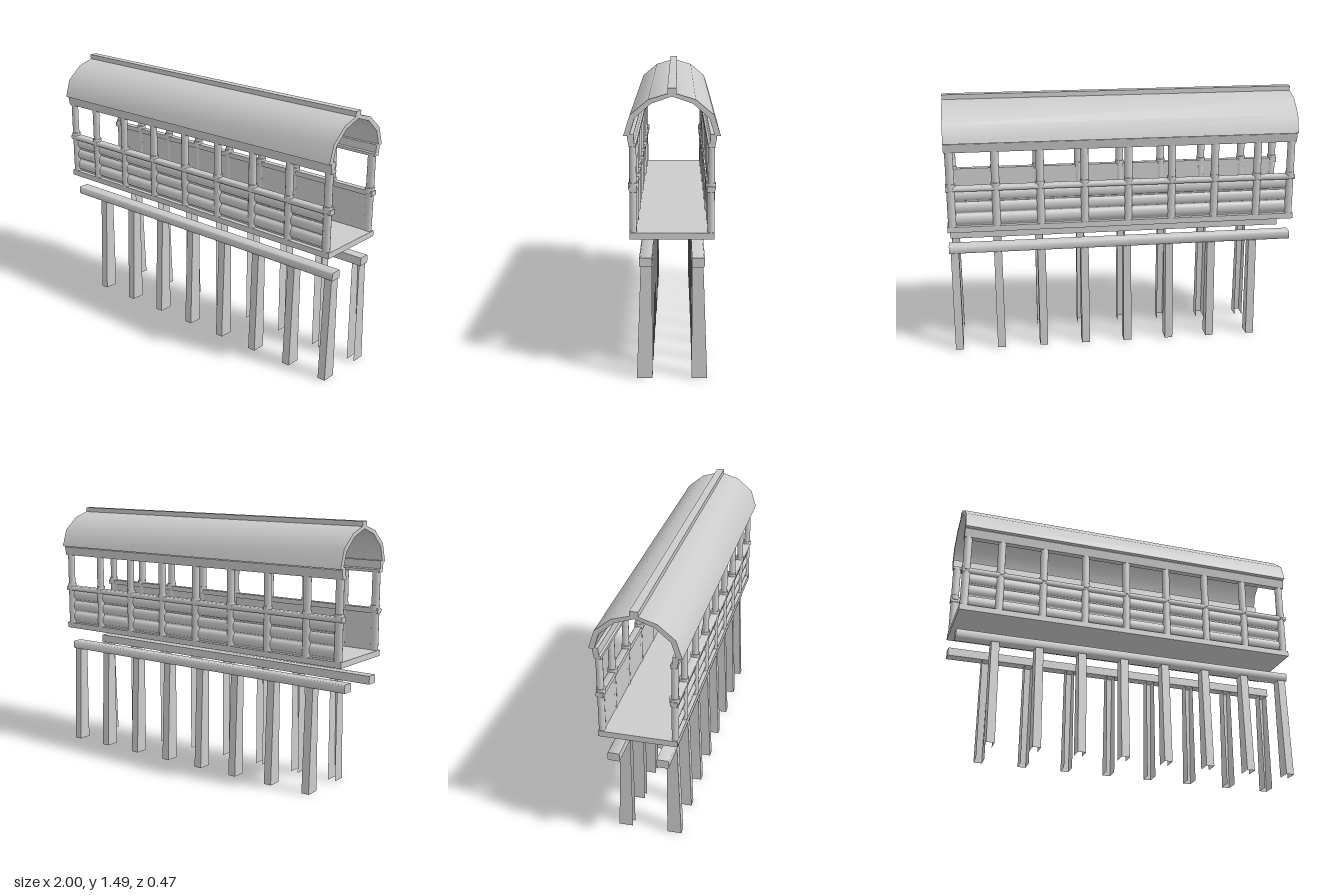
import * as THREE from 'three';
import { toCreasedNormals } from 'three/addons/utils/BufferGeometryUtils.js';

const material = new THREE.MeshStandardMaterial({ color: 0xcccccc });
const openMaterial = new THREE.MeshStandardMaterial({ color: 0xcccccc, side: THREE.DoubleSide });

// Extrudes a [z, y] outline along x, centred on x = 0.
function alongX(points, length, crease = 0.7) {
  const shape = new THREE.Shape(points.map(([z, y]) => new THREE.Vector2(z, y)));
  const geometry = new THREE.ExtrudeGeometry(shape, { depth: length, bevelEnabled: false });
  geometry.rotateY(-Math.PI / 2).translate(length / 2, 0, 0);
  return toCreasedNormals(geometry, crease);
}

const rect = (z0, z1, y0, y1) => [[z0, y0], [z1, y0], [z1, y1], [z0, y1]];

// Tapered leg: a channel with an outer face and two sides, open inward and at the ends.
function legGeometry() {
  const plane = new THREE.PlaneGeometry(1, 1, 3, 1);
  const pos = plane.attributes.position;
  for (let i = 0; i < pos.count; i++) {
    const column = i % 4;
    const top = pos.getY(i) > 0;
    const outer = column === 1 || column === 2;
    pos.setXYZ(i, column < 2 ? -0.023 : 0.023, top ? 0.6 : 0, outer ? (top ? 0.157 : 0.18) : 0.1);
  }
  const geometry = plane.toNonIndexed();
  geometry.computeVertexNormals();
  return geometry;
}

// Wall outline: flat inside, three bulging boards outside.
function wallOutline() {
  const points = [[0.18, 0.768]];
  const height = 0.07;
  for (let board = 0; board < 3; board++) {
    const y = 0.77 + board * height;
    points.push([0.184, y], [0.184, y + 0.008]);
    for (let k = 0; k <= 6; k++) {
      const a = (k / 6 - 0.5) * Math.PI;
      points.push([0.185 + 0.016 * Math.cos(a), y + 0.039 + 0.03 * Math.sin(a)]);
    }
  }
  points.push([0.184, 0.98], [0.18, 0.98]);
  return points;
}

export function createModel() {
  const model = new THREE.Group();

  const add = (name, geometry, mat = material) => {
    const mesh = new THREE.Mesh(geometry, mat);
    mesh.name = name;
    model.add(mesh);
    return mesh;
  };
  // Places a part built on the +z side on both sides of the bridge.
  const addBothSides = (name, geometry, x = 0, mat = material) => {
    for (const side of ['front', 'back']) {
      const mesh = add(side + name, geometry, mat);
      mesh.position.x = x;
      if (side === 'back') mesh.rotation.y = Math.PI;
    }
  };

  // Deck and the two beams carried by the legs
  add('deck', alongX(rect(-0.21, 0.21, 0.737, 0.77), 2));
  addBothSides('Beam', alongX([
    [0.1, 0.594], [0.16, 0.594], [0.165, 0.6], [0.165, 0.635], [0.16, 0.641], [0.1, 0.641],
  ], 2, 1));

  // Boarded walls and handrails
  addBothSides('Wall', alongX(wallOutline(), 1.94, 0.8));
  addBothSides('Rail', alongX([
    [0.172, 0.976], [0.207, 0.976], [0.212, 0.982], [0.212, 0.998], [0.207, 1.004], [0.172, 1.004],
  ], 2, 1));

  // Posts with collars, and legs below
  const post = new THREE.CylinderGeometry(0.5, 0.5, 0.44, 12);
  post.scale(0.046, 1, 0.036).translate(0, 0.988, 0.193);
  const collar = new THREE.CylinderGeometry(0.5, 0.5, 0.03, 12);
  collar.scale(0.052, 1, 0.052).translate(0, 1.005, 0.191);
  const leg = legGeometry();
  for (let i = 0; i < 9; i++) {
    const x = i === 0 ? -0.974 : -1.028 + i * 0.25;
    addBothSides('Post', post, x);
    addBothSides('PostCollar', collar, x);
    if (i > 0) addBothSides('Leg', leg, Math.min(x, 0.968), openMaterial);
  }

  // Eave boards, arched roof shell and ridge cap
  addBothSides('EaveBoard', alongX([
    [0.175, 1.2], [0.21, 1.2], [0.219, 1.25], [0.205, 1.263], [0.187, 1.263], [0.185, 1.22], [0.175, 1.215],
  ], 2, 0.5));
  const outer = [[0.237, 1.256], [0.205, 1.357], [0.115, 1.432]];
  const inner = [[0.1, 1.413], [0.181, 1.342], [0.208, 1.256]];
  const mirror = (points) => points.map(([z, y]) => [-z, y]).reverse();
  add('roof', alongX([
    ...outer, [0, 1.467], ...mirror(outer),
    ...mirror(inner), [0, 1.447], ...inner,
  ], 2, 0.85));
  add('ridgeCap', alongX(rect(-0.022, 0.022, 1.447, 1.487), 2));

  return model;
}
